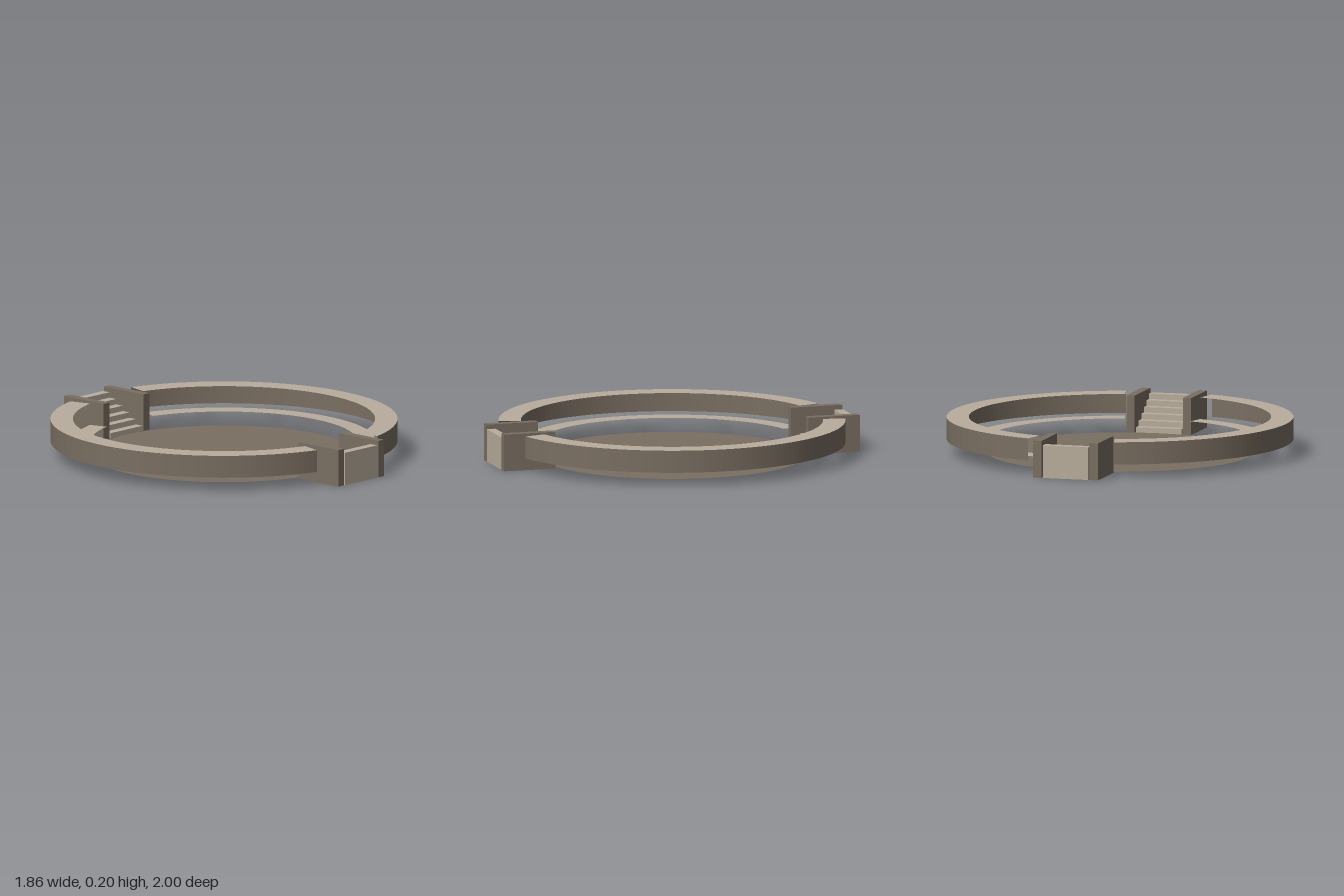
import * as THREE from 'three';

const GAP = THREE.MathUtils.degToRad(15); // half angle left open for each stair

export function createModel() {
  const paleStone = new THREE.MeshStandardMaterial({ color: 0xb8ad9c, side: THREE.DoubleSide });
  paleStone.name = 'paleStone';
  const darkStone = new THREE.MeshStandardMaterial({ color: 0x7a6f62, side: THREE.DoubleSide });
  darkStone.name = 'darkStone';

  const model = new THREE.Group();
  model.name = 'arena';

  const add = (parent, name, geometry, material, x = 0, y = 0, z = 0) => {
    const mesh = new THREE.Mesh(geometry, material);
    mesh.name = name;
    mesh.position.set(x, y, z);
    parent.add(mesh);
    return mesh;
  };

  // Round floor
  add(model, 'floor', new THREE.CircleGeometry(0.71, 64).rotateX(-Math.PI / 2), darkStone, 0, 0.002);

  // Two half rings: low tier, raised tier and outer wall, open at the stairs
  const sweep = Math.PI - 2 * GAP;
  const flatRing = (inner, outer) =>
    new THREE.RingGeometry(inner, outer, 40, 1, -Math.PI / 2 + GAP, sweep).rotateX(-Math.PI / 2);
  for (const side of ['left', 'right']) {
    const stand = new THREE.Group();
    stand.name = side + 'Stand';
    stand.rotation.y = side === 'left' ? 0 : Math.PI;
    add(stand, 'lowerTier', flatRing(0.71, 0.81), paleStone, 0, 0.078);
    add(stand, 'upperTier', flatRing(0.81, 0.93), paleStone, 0, 0.195);
    add(stand, 'outerWall',
      new THREE.CylinderGeometry(0.93, 0.93, 0.12, 40, 1, true, GAP, sweep), darkStone, 0, 0.135);
    model.add(stand);
  }

  // Stairs climbing outward, with a wall on each side
  const steps = 6, inner = 0.71, depth = 0.29, height = 0.177, width = 0.254;
  const profile = new THREE.Shape();
  profile.moveTo(inner, 0);
  for (let i = 0; i < steps; i++) {
    const y = height * (i + 1) / steps;
    profile.lineTo(inner + depth * i / steps, y);
    profile.lineTo(inner + depth * (i + 1) / steps, y);
  }
  profile.lineTo(inner + depth, 0);
  profile.closePath();
  const stairGeometry = new THREE.ExtrudeGeometry(profile, { depth: width, bevelEnabled: false })
    .translate(0, 0, -width / 2)
    .rotateY(-Math.PI / 2);
  const wallGeometry = new THREE.BoxGeometry(0.046, 0.2, depth);
  for (const end of ['front', 'back']) {
    const stairs = new THREE.Group();
    stairs.name = end + 'Stairs';
    stairs.rotation.y = end === 'front' ? 0 : Math.PI;
    add(stairs, 'steps', stairGeometry, paleStone);
    for (const s of [-1, 1]) {
      add(stairs, s > 0 ? 'leftStairWall' : 'rightStairWall', wallGeometry, darkStone,
        s * 0.158, 0.1, inner + depth / 2);
    }
    model.add(stairs);
  }

  return model;
}
